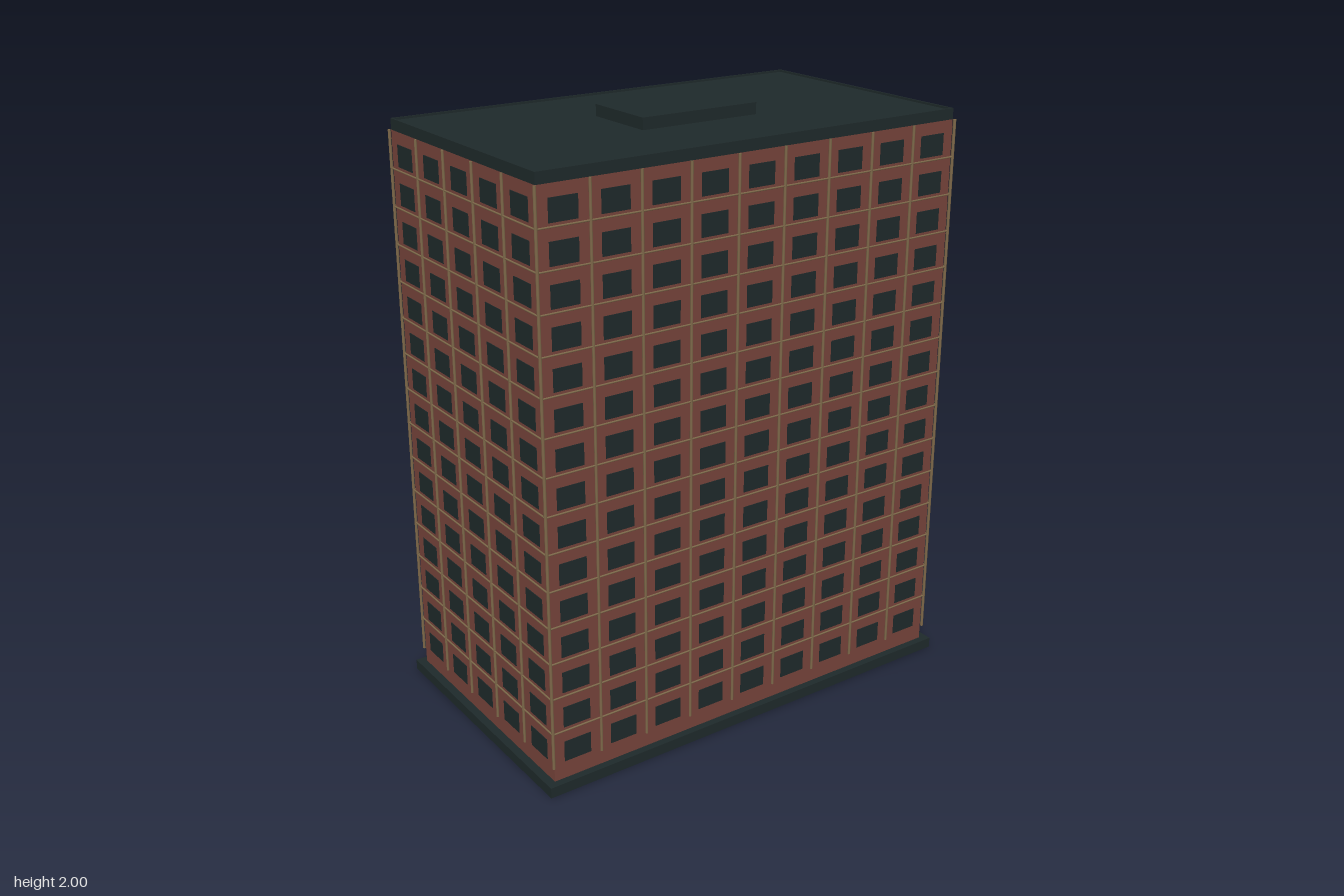
import * as THREE from 'three';

export function createModel() {
  const model = new THREE.Group();
  model.name = 'apartmentTower';

  const mat = (name, color) => {
    const m = new THREE.MeshStandardMaterial({ color });
    m.name = name;
    return m;
  };
  const brick = mat('brick red', 0x75433a);
  const slate = mat('dark slate', 0x1e292a);
  const trim = mat('tan trim', 0x7d6849);

  const HX = 0.771, HZ = 0.442;          // half sizes of the walls
  const FLOORS = 15, STEP = 0.1232;      // storeys
  const BASE = 0.036, TRIM_LOW = 0.087, TOP = 1.933, ROOF = 1.962;
  const OUT = 0.0045;                    // distance of the trim rods from the wall

  const box = (parent, name, material, w, h, d, x, y, z) => {
    const mesh = new THREE.Mesh(new THREE.BoxGeometry(w, h, d), material);
    mesh.name = name;
    mesh.position.set(x, y, z);
    parent.add(mesh);
  };

  // Round trim rod, upright or lying along x
  const rod = (parent, name, radius, length, x, y, z, lying = false) => {
    const mesh = new THREE.Mesh(new THREE.CylinderGeometry(radius, radius, length, 8), trim);
    mesh.name = name;
    mesh.position.set(x, y, z);
    if (lying) mesh.rotation.z = Math.PI / 2;
    parent.add(mesh);
  };

  // Main masses
  box(model, 'basePlinth', slate, 1.6, BASE, 0.934, 0, BASE / 2, 0);
  box(model, 'brickBody', brick, HX * 2, TOP - BASE, HZ * 2, 0, (TOP + BASE) / 2, 0);
  box(model, 'roofSlab', slate, HX * 2, ROOF - TOP, HZ * 2, 0, (ROOF + TOP) / 2, 0);
  box(model, 'roofHousing', slate, 0.43, 2 - ROOF, 0.264, 0, (2 + ROOF) / 2, 0);

  // Low lip around the roof
  for (const s of [-1, 1]) {
    box(model, 'roofLip', slate, HX * 2, 0.007, 0.006, 0, ROOF + 0.0035, s * (HZ - 0.003));
    box(model, 'roofLip', slate, 0.006, 0.007, HZ * 2 - 0.012, s * (HX - 0.003), ROOF + 0.0035, 0);
  }

  // Corner rods
  const ribHeight = TOP - TRIM_LOW, ribY = (TOP + TRIM_LOW) / 2;
  for (const sx of [-1, 1]) {
    for (const sz of [-1, 1]) {
      rod(model, 'cornerRib', 0.005, ribHeight, sx * (HX + OUT), ribY, sz * (HZ + OUT));
    }
  }

  // One facade, built facing +z, then turned to its side
  const addFacade = (name, columns, halfWidth, distance, angle) => {
    const facade = new THREE.Group();
    facade.name = name;
    facade.rotation.y = angle;
    const bay = (halfWidth * 2) / columns;

    // Window panes
    for (let c = 0; c < columns; c++) {
      const x = -halfWidth + bay * (c + 0.5);
      for (let f = 0; f < FLOORS; f++) {
        box(facade, 'window', slate, 0.096, 0.071, 0.004, x, 0.133 + f * STEP, distance);
      }
    }
    // Vertical ribs between the bays
    for (let c = 1; c < columns; c++) {
      rod(facade, 'verticalRib', 0.0045, ribHeight, -halfWidth + bay * c, ribY, distance + OUT);
    }
    // Thin ledges between the storeys
    for (let f = 1; f < FLOORS; f++) {
      rod(facade, 'floorLedge', 0.003, (halfWidth + OUT) * 2, 0, TRIM_LOW + f * STEP, distance + OUT, true);
    }
    model.add(facade);
  };

  addFacade('frontFacade', 9, HX, HZ, 0);
  addFacade('backFacade', 9, HX, HZ, Math.PI);
  addFacade('leftFacade', 5, HZ, HX, Math.PI / 2);
  addFacade('rightFacade', 5, HZ, HX, -Math.PI / 2);

  return model;
}
